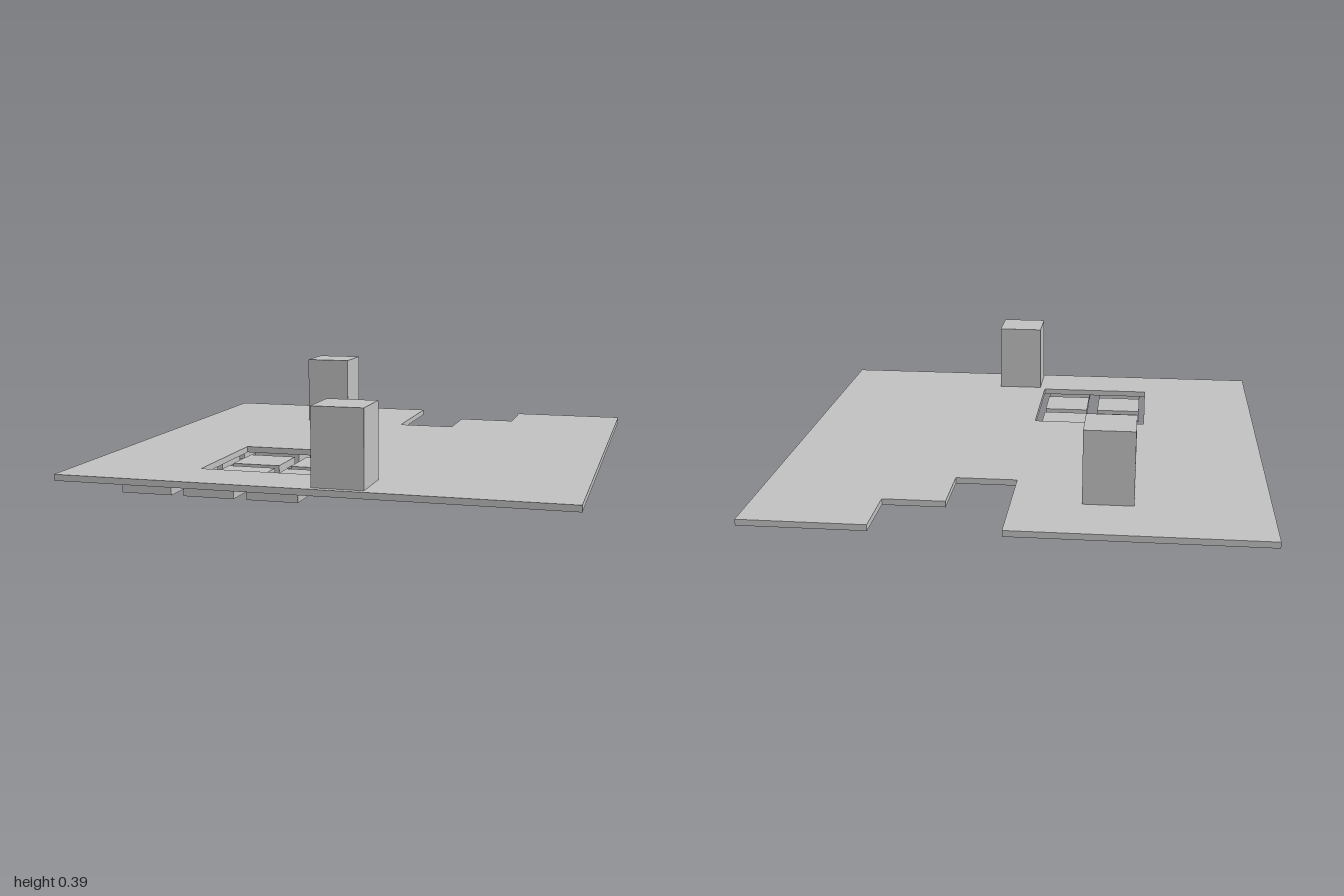
import * as THREE from 'three';

const PITCH = 0.25, SIZE = 0.2;

export function createModel() {
  const group = new THREE.Group();
  const gray = new THREE.MeshStandardMaterial({ color: 0xc0c0c0 });
  gray.name = 'light gray';

  const add = (name, geometry) => {
    const mesh = new THREE.Mesh(geometry, gray);
    mesh.name = name;
    group.add(mesh);
    return mesh;
  };

  // Square block between two heights
  const block = (name, x, z, y0, y1) =>
    add(name, new THREE.BoxGeometry(SIZE, y1 - y0, SIZE)).position.set(x, (y0 + y1) / 2, z);

  // Floor slab with a stepped notch at the back and a square opening;
  // drawn as (x, -z) and laid flat
  const points = (list) => list.map(([x, z]) => new THREE.Vector2(x, -z));
  const outline = new THREE.Shape(points([
    [-1, 1], [1, 1], [1, -1], [0.5, -1], [0.5, -0.75],
    [0.25, -0.75], [0.25, -0.5], [0, -0.5], [0, -1], [-1, -1],
  ]));
  outline.holes.push(new THREE.Path(points([[-0.5, 0.25], [0, 0.25], [0, 0.75], [-0.5, 0.75]])));
  const slab = new THREE.ExtrudeGeometry(outline, { depth: 0.025, bevelEnabled: false });
  slab.rotateX(-Math.PI / 2);
  add('floorSlab', slab).position.y = 0.0675;

  // Tiles under the slab: a 5 x 4 grid with three corners left out and one deep tile
  const missing = ['0,0', '0,3', '4,3'];
  for (let i = 0; i < 5; i++) {
    for (let j = 0; j < 4; j++) {
      if (missing.includes(`${i},${j}`)) continue;
      const deep = i === 2 && j === 0;
      block(deep ? 'deepTile' : 'tile', -0.875 + i * PITCH, 0.125 + j * PITCH, deep ? 0 : 0.0325, 0.0625);
    }
  }

  // Two pillars standing on the slab
  block('frontPillar', 0.125, 0.875, 0.0925, 0.3925);
  block('backPillar', -0.375, -0.625, 0.0925, 0.3925);

  return group;
}
